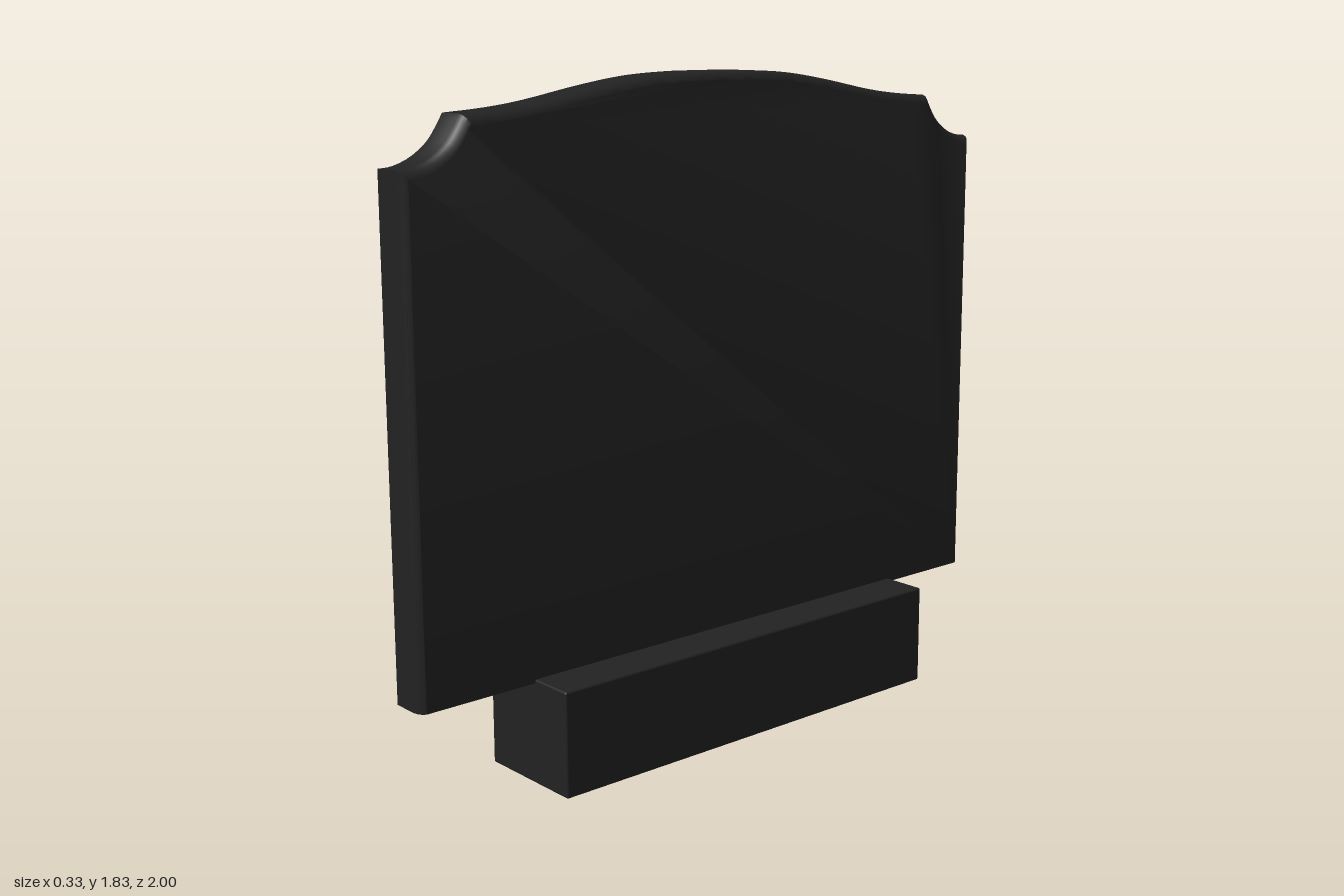
import * as THREE from 'three';
import { toCreasedNormals } from 'three/addons/utils/BufferGeometryUtils.js';
import { RoundedBoxGeometry } from 'three/addons/geometries/RoundedBoxGeometry.js';

const BOTTOM = 0.28;

// Half of the headstone outline, from the outer shoulder to the crown
function halfOutline() {
  const v = (x, y) => new THREE.Vector2(x, y);
  const scoop = new THREE.SplineCurve([
    v(1, 1.62), v(0.96, 1.624), v(0.91, 1.643), v(0.865, 1.675), v(0.837, 1.71), v(0.815, 1.745),
  ]).getPoints(14);
  const crown = new THREE.SplineCurve([
    v(0.815, 1.745), v(0.7, 1.753), v(0.58, 1.768), v(0.4, 1.801), v(0.25, 1.822), v(0.1, 1.83), v(0, 1.83),
  ]).getPoints(24);
  return [v(1, BOTTOM), ...scoop, ...crown.slice(1)];
}

// Upright slab: extruded in layers, the last layers drawn in to round the +x edge
function slabGeometry() {
  const half = halfOutline();
  const mirrored = half.slice(0, -1).reverse().map(p => new THREE.Vector2(-p.x, p.y));
  const shape = new THREE.Shape([...half, ...mirrored]);
  const layerX = [-0.07, 0.005, 0.018, 0.028, 0.035];
  const inset = [0, 0, 0.004, 0.011, 0.023];
  const geo = new THREE.ExtrudeGeometry(shape, { depth: 4, steps: 4, bevelEnabled: false });
  const pos = geo.attributes.position;
  for (let i = 0; i < pos.count; i++) {
    const layer = Math.round(pos.getZ(i));
    const y = pos.getY(i);
    const drop = y > BOTTOM + 0.01 ? inset[layer] : 0;
    pos.setXYZ(i, pos.getX(i) * (1 - inset[layer] * 0.8), y - drop, layerX[layer]);
  }
  geo.rotateY(Math.PI / 2);
  return toCreasedNormals(geo, 0.6);
}

export function createModel() {
  const model = new THREE.Group();
  model.name = 'headstone';
  const darkStone = new THREE.MeshStandardMaterial({ color: 0x222222 });
  darkStone.name = 'darkStone';

  const slab = new THREE.Mesh(slabGeometry(), darkStone);
  slab.name = 'slab';
  model.add(slab);

  // Plinth under the slab
  const plinth = new THREE.Mesh(new RoundedBoxGeometry(0.33, 0.29, 1.33, 2, 0.006), darkStone);
  plinth.name = 'plinth';
  plinth.position.set(0, 0.145, -0.015);
  model.add(plinth);

  return model;
}
